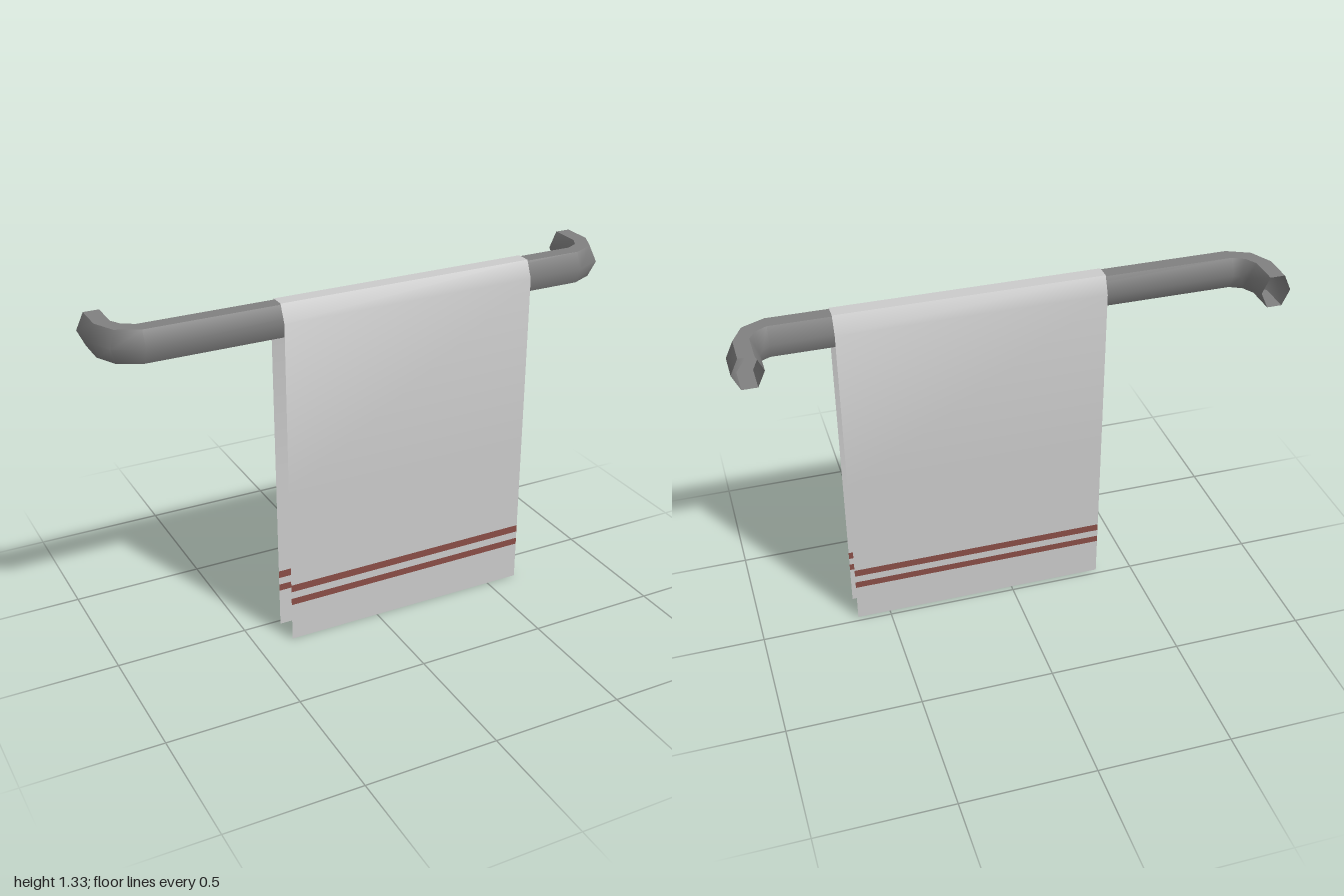
import * as THREE from 'three';
import { toCreasedNormals } from 'three/addons/utils/BufferGeometryUtils.js';

const CREASE = 1.06; // keeps the flat top edges sharp, softens the rest

// Skin a list of cross-sections (arrays of Vector3) with quads.
function loft(sections, closed) {
  const n = sections[0].length;
  const index = [];
  for (let i = 0; i < sections.length - 1; i++) {
    for (let j = 0; j < (closed ? n : n - 1); j++) {
      const k = (j + 1) % n;
      const a = i * n + j, b = (i + 1) * n + j, c = (i + 1) * n + k, d = i * n + k;
      index.push(a, b, c, a, c, d);
    }
  }
  const geometry = new THREE.BufferGeometry().setFromPoints(sections.flat());
  geometry.setIndex(index);
  return toCreasedNormals(geometry, CREASE);
}

function addMesh(parent, name, geometry, color) {
  const material = new THREE.MeshStandardMaterial({ color, side: THREE.DoubleSide });
  const mesh = new THREE.Mesh(geometry, material);
  mesh.name = name;
  parent.add(mesh);
}

export function createModel() {
  const model = new THREE.Group();
  model.name = 'towelRail';
  const barY = 1.27;

  // Rail: hollow six-sided tube, bent back at both ends
  const hexagon = [[0.056, 0], [0.028, 0.06], [-0.028, 0.06], [-0.056, 0], [-0.028, -0.06], [0.028, -0.06]];
  const halfPath = [[-0.944, -0.133, 0], [-0.944, -0.017, 0], [-0.912, 0.045, 45], [-0.848, 0.077, 90]];
  const path = [...halfPath, ...halfPath.map(([x, z, t]) => [-x, z, 180 - t]).reverse()];
  const rings = path.map(([x, z, degrees]) => {
    const t = THREE.MathUtils.degToRad(degrees);
    return hexagon.map(([out, up]) =>
      new THREE.Vector3(x - Math.cos(t) * out, barY + up, z + Math.sin(t) * out));
  });
  addMesh(model, 'rail', loft(rings, true), 0x808080);

  // Towel: thin cloth over the rail, striped near both hems
  const towel = new THREE.Group();
  towel.name = 'towel';
  model.add(towel);
  const frontZ = 0.133, backZ = 0.021;
  const cloth = (name, profile, color) => addMesh(towel, name, loft(
    [-0.36, 0.627].map((x) => profile.map(([z, y]) => new THREE.Vector3(x, y, z))), false), color);

  cloth('towelDrape', [
    [frontZ, 0.234], [frontZ, 0.62], [frontZ, barY], [0.105, 1.334],
    [0.049, 1.334], [backZ, barY], [backZ, 0.62], [backZ, 0.234],
  ], 0xccccc8);

  const bands = [
    ['Hem', 0, 0.149], ['LowerStripe', 0.149, 0.176],
    ['Gap', 0.176, 0.205], ['UpperStripe', 0.205, 0.234],
  ];
  for (const [name, y0, y1] of bands) {
    const color = name.endsWith('Stripe') ? 0x8a4e47 : 0xccccc8;
    cloth('front' + name, [[frontZ, y0], [frontZ, y1]], color);
    cloth('back' + name, [[backZ, y1], [backZ, y0]], color);
  }
  return model;
}
